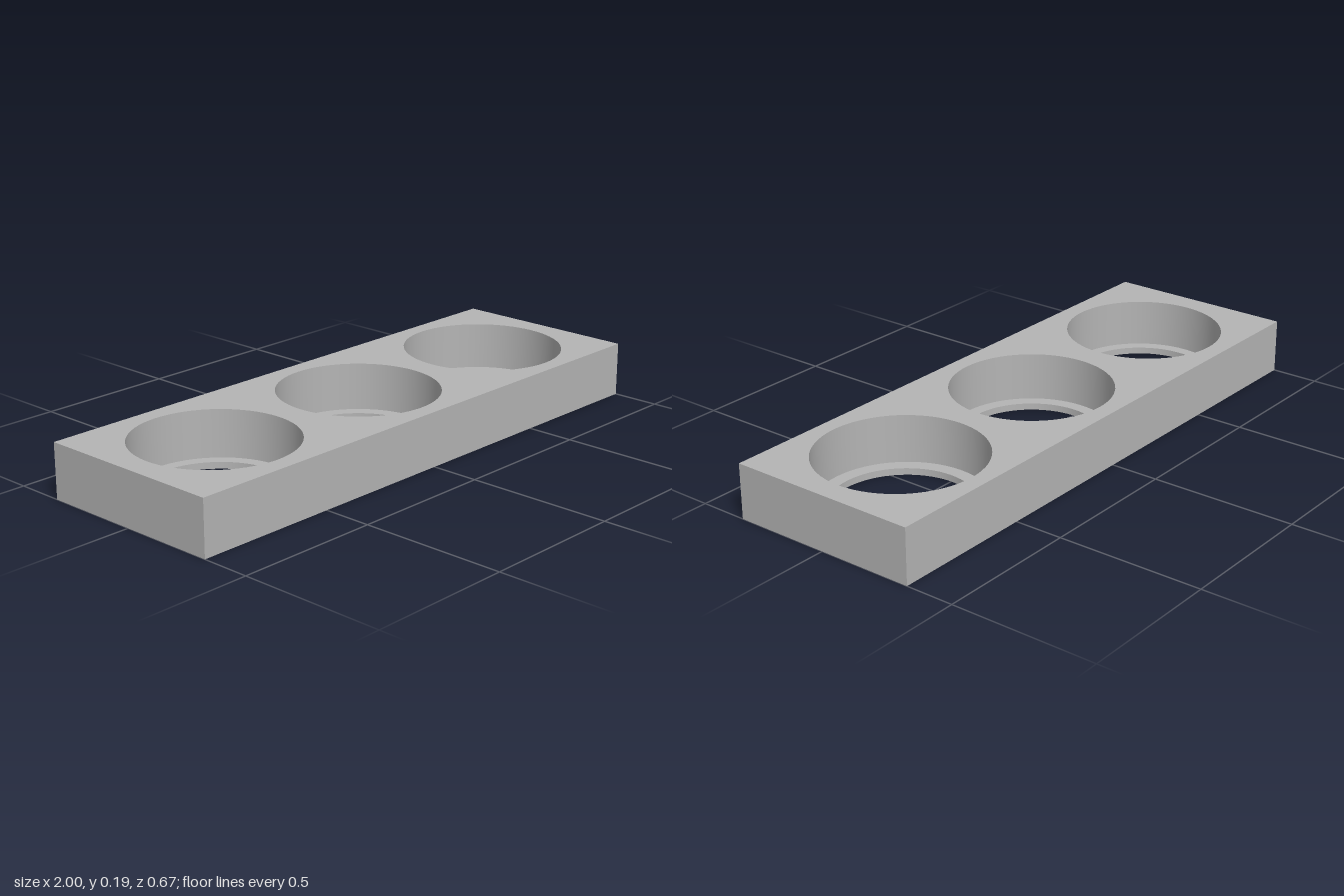
import * as THREE from 'three';

const WIDTH = 2, DEPTH = 0.667, HEIGHT = 0.188;
const LIP_HEIGHT = 0.023, LIP_RADIUS = 0.231, SIDES = 64;
// Three pockets, growing slightly from right to left
const POCKETS = [
  { x: -0.645, radius: 0.272 },
  { x: 0, radius: 0.275 },
  { x: 0.645, radius: 0.278 },
];

export function createModel() {
  const group = new THREE.Group();
  group.name = 'pocketBlock';
  const grey = new THREE.MeshStandardMaterial({ color: 0xb4b4b4 });
  grey.name = 'grey';

  const add = (name, geometry, x = 0, y = 0, z = 0) => {
    const mesh = new THREE.Mesh(geometry, grey);
    mesh.name = name;
    mesh.position.set(x, y, z);
    group.add(mesh);
    return mesh;
  };

  // Rectangular face pierced by the three round openings
  const piercedFace = (radiusOf) => {
    const w = WIDTH / 2, d = DEPTH / 2;
    const shape = new THREE.Shape([
      new THREE.Vector2(-w, -d), new THREE.Vector2(w, -d),
      new THREE.Vector2(w, d), new THREE.Vector2(-w, d),
    ]);
    for (const p of POCKETS) {
      shape.holes.push(new THREE.Path().absarc(p.x, 0, radiusOf(p), 0, Math.PI * 2, true));
    }
    return new THREE.ShapeGeometry(shape, SIDES / 2);
  };
  add('topFace', piercedFace((p) => p.radius).rotateX(-Math.PI / 2), 0, HEIGHT);
  add('bottomFace', piercedFace(() => LIP_RADIUS).rotateX(Math.PI / 2));

  // Four outer walls
  for (const [name, turn, length, offset] of [
    ['frontWall', 0, WIDTH, DEPTH / 2],
    ['leftWall', Math.PI / 2, DEPTH, WIDTH / 2],
    ['backWall', Math.PI, WIDTH, DEPTH / 2],
    ['rightWall', -Math.PI / 2, DEPTH, WIDTH / 2],
  ]) {
    const wall = new THREE.PlaneGeometry(length, HEIGHT);
    wall.translate(0, HEIGHT / 2, offset).rotateY(turn);
    add(name, wall);
  }

  // Stepped pockets: each band is separate so its edges stay sharp
  const band = (r1, y1, r2, y2) => new THREE.LatheGeometry(
    [new THREE.Vector2(r1, y1), new THREE.Vector2(r2, y2)], SIDES);
  for (const { x, radius } of POCKETS) {
    add('pocketWall', band(radius, HEIGHT, radius, LIP_HEIGHT), x);
    add('pocketLedge', band(radius, LIP_HEIGHT, LIP_RADIUS, LIP_HEIGHT), x);
    add('lipWall', band(LIP_RADIUS, LIP_HEIGHT, LIP_RADIUS, 0), x);
  }
  return group;
}
